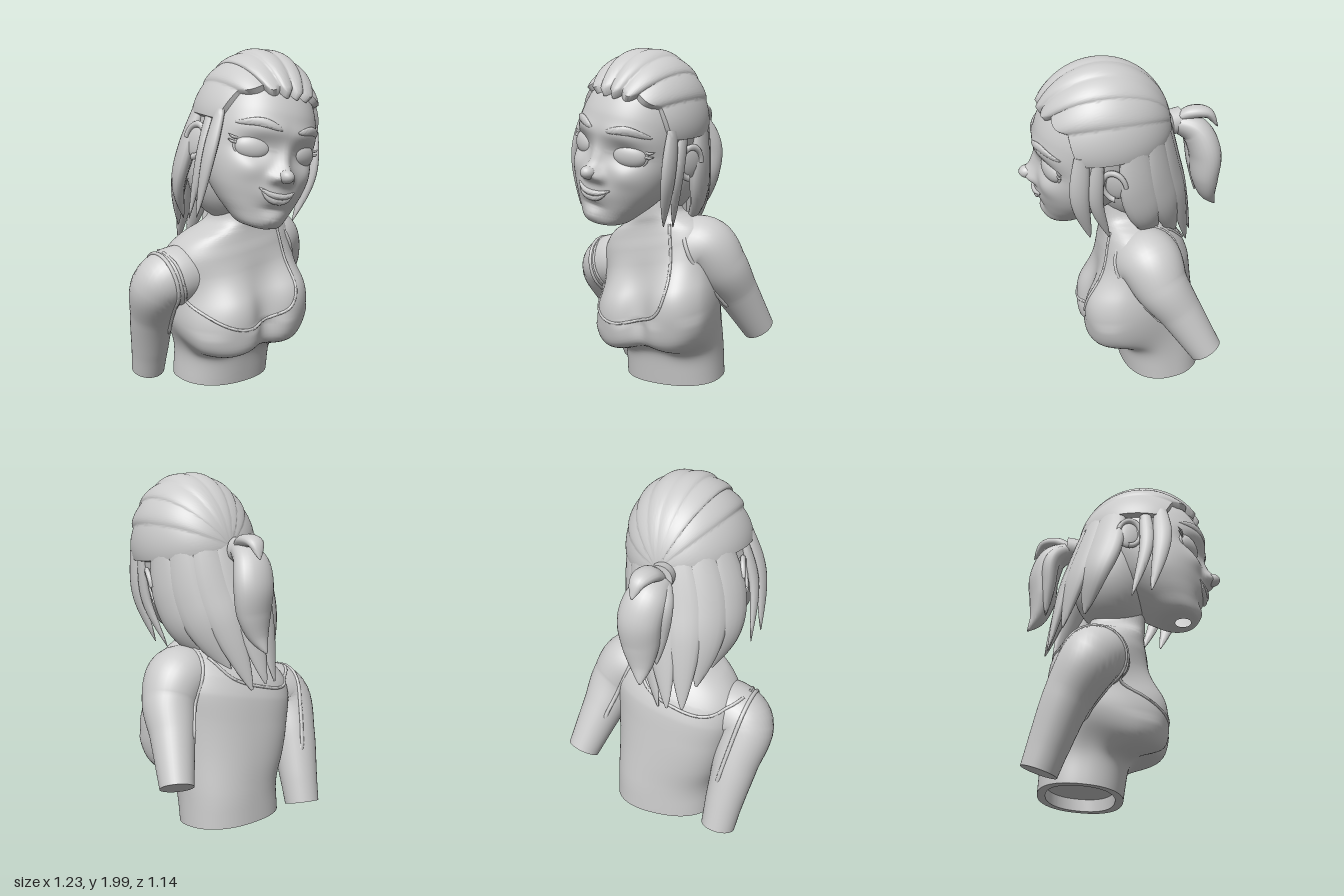
import * as THREE from 'three';
import { toCreasedNormals } from 'three/addons/utils/BufferGeometryUtils.js';

const V = (x, y, z) => new THREE.Vector3(x, y, z);
const mat = new THREE.MeshStandardMaterial({ color: 0xcccccc, side: THREE.DoubleSide });
const smooth = THREE.MathUtils.smoothstep;

function mesh(name, geo, parent) {
  const m = new THREE.Mesh(geo, mat);
  m.name = name;
  if (parent) parent.add(m);
  return m;
}

// Skin a list of point rings, closed round or open
function loft(rings, closed = true) {
  const n = rings[0].length, pos = [], idx = [];
  for (const r of rings) for (const p of r) pos.push(p.x, p.y, p.z);
  for (let i = 0; i < rings.length - 1; i++) {
    for (let j = 0; j < (closed ? n : n - 1); j++) {
      const k = (j + 1) % n, a = i * n + j, b = i * n + k, c = b + n, d = a + n;
      idx.push(a, b, d, b, c, d);
    }
  }
  const g = new THREE.BufferGeometry();
  g.setAttribute('position', new THREE.Float32BufferAttribute(pos, 3));
  g.setIndex(idx);
  return toCreasedNormals(g, 1.0);
}

// Sweep an ellipse along a path; size(u) gives [half width, half thickness], ref is the thin direction
function sweep(points, ref, size, n = 28, seg = 16) {
  const curve = new THREE.CatmullRomCurve3(points.map(p => V(...p))), rings = [];
  for (let i = 0; i <= n; i++) {
    const u = i / n, c = curve.getPoint(u), T = curve.getTangent(u);
    const N = V(...ref).addScaledVector(T, -T.dot(V(...ref))).normalize();
    const B = T.clone().cross(N), [w, t] = size(u);
    const ring = k => Array.from({ length: seg }, (_, j) => {
      const a = j / seg * Math.PI * 2;
      return c.clone().addScaledVector(N, Math.cos(a) * t * k).addScaledVector(B, Math.sin(a) * w * k);
    });
    if (i === 0) rings.push(ring(0));
    rings.push(ring(1));
    if (i === n) rings.push(ring(0));
  }
  return loft(rings);
}
const lock = (w, t) => u => { const k = Math.sin(Math.PI * (0.22 + 0.77 * u)) ** 0.8; return [w * k, t * k]; };
const spindle = (w, t) => u => { const k = Math.sin(Math.PI * (0.02 + 0.96 * u)) ** 0.6; return [w * k, t * k]; };

// Body from rows of [y, centre x, half width, front z, back z], then a rule moves each point
function body(rows, n, seg, power, rule, head = []) {
  const c1 = new THREE.CatmullRomCurve3(rows.map(r => V(r[0], r[1], r[2])));
  const c2 = new THREE.CatmullRomCurve3(rows.map(r => V(r[3], r[4], 0)));
  const all = head.slice();
  for (let i = 0; i <= n; i++) {
    const a = c1.getPoint(i / n), b = c2.getPoint(i / n);
    all.push([a.x, a.y, a.z, b.x, b.y]);
  }
  const last = all[all.length - 1], mid = (last[3] + last[4]) / 2;
  all.push([last[0], last[1], 0, mid, mid]);
  const e = v => Math.sign(v) * Math.abs(v) ** (2 / power);
  return loft(all.map(([y, cx, w, zf, zb]) => Array.from({ length: seg }, (_, j) => {
    const a = j / seg * Math.PI * 2, c = Math.cos(a);
    const p = V(cx + w * e(Math.sin(a)), y, (zf + zb) / 2 + (zf - zb) / 2 * e(c));
    rule(p, c);
    return p;
  })));
}

// Lay flat [x, y] points on the surface of some meshes, from the front (1) or the back (-1)
function project(points, targets, dir, n = 40) {
  const curve = new THREE.CatmullRomCurve3(points.map(p => V(p[0], p[1], 0))), out = [];
  for (let i = 0; i <= n; i++) {
    const p = curve.getPoint(i / n);
    const hit = new THREE.Raycaster(V(p.x, p.y, 3 * dir), V(0, 0, -dir)).intersectObjects(targets)[0];
    if (hit) out.push([p.x, p.y, hit.point.z]);
  }
  return out;
}

function makeTorso(root) {
  const rows = [[0, 0.02, 0.305, 0, -0.47], [0.2, 0.02, 0.305, 0.03, -0.46], [0.4, 0, 0.33, 0.08, -0.45],
    [0.6, -0.01, 0.36, 0.12, -0.43], [0.75, -0.02, 0.385, 0.14, -0.41], [0.85, -0.03, 0.375, 0.14, -0.37],
    [0.92, -0.03, 0.34, 0.13, -0.32], [0.97, -0.03, 0.28, 0.125, -0.27], [1.0, -0.02, 0.22, 0.125, -0.23], [1.04, -0.01, 0.16, 0.13, -0.2],
    [1.15, -0.01, 0.135, 0.13, -0.18], [1.3, -0.01, 0.13, 0.12, -0.17]];
  // hollow waist opening below
  const rim = [[0.07, 0.02, 0, -0.23, -0.23], [0.07, 0.02, 0.26, -0.045, -0.425], [0, 0.02, 0.26, -0.045, -0.425]];
  const torso = mesh('torso', body(rows, 130, 120, 2.3, (p, c) => {
    // bust: round below with an overhanging shelf, soft above
    const y = p.y, dy = y - 0.46;
    let d = 0.07 * Math.exp(-((p.x / 0.1) ** 2) - ((y - 0.35) / 0.09) ** 2);
    for (const s of [-1, 1]) {
      const r2 = ((p.x - s * 0.2) / 0.18) ** 2 + (dy / (dy < 0 ? 0.2 : 0.22)) ** 2;
      d += 0.185 * Math.exp(-(r2 ** (dy < 0 ? 1.7 : 1.2)));
    }
    d *= smooth(c, 0, 0.45);
    p.x += Math.sign(p.x) * 0.06 * Math.exp(-((dy / 0.17) ** 2)) * smooth(Math.abs(p.x), 0.1, 0.32) * smooth(c, -0.35, 0.4);
    p.z += d;
    p.y -= 0.5 * d * (1 - smooth(y, 0.35, 0.6));
    // raised left shoulder, turned chest, tilted waist cut
    p.y += 0.19 * p.x * smooth(y, 0.05, 0.65) - 0.08 * p.z * (1 - smooth(y, 0, 0.4));
    p.z += 0.16 * p.x * smooth(y, 0.1, 0.6);
  }, rim), root);

  // upper arms, cut flat, with the centre and facing of each armhole
  const arms = [
    ['leftArm', [0.28, 0.82, -0.07], [0.92, 0.38, 0], [[0.17, 0.81, -0.06], [0.28, 0.84, -0.08], [0.37, 0.73, -0.12], [0.43, 0.58, -0.21], [0.52, 0.33, -0.35]],
      [0.205, 0.19, 0.16, 0.128, 0.095]],
    ['rightArm', [-0.44, 0.64, -0.2], [-0.95, -0.2, -0.1], [[-0.24, 0.69, -0.15], [-0.36, 0.69, -0.17], [-0.45, 0.64, -0.21], [-0.43, 0.44, -0.32], [-0.39, 0.2, -0.41], [-0.37, 0.05, -0.46]],
      [0.165, 0.175, 0.168, 0.135, 0.112, 0.1]]];
  const targets = [torso];
  for (const [name, centre, facing, path, radii] of arms) {
    const rc = new THREE.CatmullRomCurve3(radii.map((r, i) => V(r, i * 0.15, 0)));
    const arm = mesh(name, sweep(path, [0, 0, 1], u => { const r = rc.getPoint(u).x; return [r, r]; }, 40, 36), root);
    targets.push(arm);
    // armhole hem hugging the shoulder
    const c = V(...centre), f = V(...facing).normalize(), e1 = V(0, 0, 1).cross(f).normalize(), e2 = f.clone().cross(e1), hem = [];
    for (let i = 0; i <= 48; i++) {
      const a = i / 48 * Math.PI * 2, d = e1.clone().multiplyScalar(Math.cos(a)).addScaledVector(e2, Math.sin(a));
      const hit = new THREE.Raycaster(c.clone().addScaledVector(d, 0.4), d.clone().negate()).intersectObject(arm)[0];
      if (hit) hem.push(hit.point.toArray());
    }
    mesh(name + 'Hem', sweep(hem, facing, () => [0.01, 0.012], 96, 8), root);
  }

  // neckline trim of the top
  const trims = [
    ['frontNeckline', 1, [[-0.46, 0.84], [-0.42, 0.64], [-0.32, 0.47], [-0.18, 0.41], [0, 0.44], [0.14, 0.5], [0.19, 0.62], [0.18, 0.8], [0.15, 1]]],
    ['backNeckline', -1, [[0.18, 0.98], [0.1, 0.87], [-0.08, 0.8], [-0.28, 0.77], [-0.44, 0.84]]]];
  for (const [name, dir, pts] of trims) {
    mesh(name, sweep(project(pts, targets, dir), [0, 0, 1], () => [0.009, 0.009], 80, 8), root);
  }
}

function makeFace(head) {
  const rows = [[-0.43, 0, 0.04, 0.35, 0.26], [-0.41, 0, 0.12, 0.39, 0.17], [-0.34, 0, 0.185, 0.405, 0.07],
    [-0.28, 0, 0.23, 0.415, 0], [-0.2, 0, 0.275, 0.43, -0.08], [-0.1, 0, 0.307, 0.435, -0.15], [0, 0, 0.322, 0.43, -0.2],
    [0.1, 0, 0.32, 0.445, -0.25], [0.2, 0, 0.31, 0.43, -0.28], [0.3, 0, 0.28, 0.385, -0.28],
    [0.4, 0, 0.22, 0.28, -0.24], [0.48, 0, 0.1, 0.15, -0.12]];
  // bumps: |x|, y, amount, spread x, spread y (nose, bridge, nostrils, sockets, cheeks, brow, mouth, chin)
  const bumps = [[0, -0.125, 0.075, 0.05, 0.045], [0, -0.05, 0.03, 0.036, 0.07], [0.056, -0.145, 0.03, 0.028, 0.028],
    [0.165, 0, -0.035, 0.09, 0.06], [0.19, -0.12, 0.015, 0.07, 0.06], [0.13, 0.11, 0.012, 0.12, 0.04],
    [0, -0.24, 0.02, 0.1, 0.05], [0, -0.315, -0.012, 0.07, 0.022], [0, -0.375, 0.016, 0.06, 0.035]];
  const face = mesh('headSkin', body(rows, 96, 128, 2.15, (p, c) => {
    let d = 0;
    for (const [x, y, a, sx, sy] of bumps) d += a * Math.exp(-(((Math.abs(p.x) - x) / sx) ** 2) - ((p.y - y) / sy) ** 2);
    p.z += d * smooth(c, 0, 0.45);
  }), null);
  const noseTip = mesh('noseTip', new THREE.SphereGeometry(1, 24, 16), head);
  noseTip.scale.set(0.042, 0.038, 0.05);
  noseTip.position.set(0, -0.124, 0.48);

  // closed smiling lips
  mesh('upperLip', sweep(project([[-0.115, -0.205], [-0.06, -0.23], [0, -0.238], [0.06, -0.23], [0.115, -0.205]], [face], 1, 24),
    [0, 0, 1], spindle(0.017, 0.018)), head);
  mesh('lowerLip', sweep(project([[-0.1, -0.216], [-0.055, -0.252], [0, -0.262], [0.055, -0.252], [0.1, -0.216]], [face], 1, 24),
    [0, 0, 1], spindle(0.022, 0.016)), head);

  for (const s of [-1, 1]) {
    const side = s > 0 ? 'left' : 'right';
    // eyebrow
    mesh(side + 'Eyebrow', sweep(project([[0.05 * s, 0.115], [0.16 * s, 0.138], [0.265 * s, 0.118]], [face], 1, 16),
      [0, 0, 1], spindle(0.025, 0.012)), head);
    // eyeball, lids and lashes
    const eye = new THREE.Group();
    eye.name = side + 'Eye';
    eye.position.set(0.163 * s, 0, 0.35);
    eye.rotation.y = 0.42 * s;
    head.add(eye);
    mesh(side + 'Eyeball', new THREE.SphereGeometry(1, 32, 20), eye).scale.set(0.097, 0.067, 0.044);
    const lid = mesh(side + 'Eyelids', new THREE.TorusGeometry(0.097, 0.009, 8, 40), eye);
    lid.scale.set(1, 0.69, 1.2);
    for (const y of [0.01, 0.035]) {
      mesh(side + 'Lash', sweep([[0.085 * s, y, 0.01], [0.115 * s, y + 0.004, 0.015], [0.14 * s, y + 0.016, 0.01]],
        [0, 0, 1], lock(0.008, 0.006), 8, 8), eye);
    }
    // ear
    const ear = new THREE.Group();
    ear.name = side + 'Ear';
    ear.position.set(0.32 * s, -0.015, 0.015);
    ear.rotation.set(0.15, -0.4 * s, 0);
    head.add(ear);
    mesh(side + 'EarBowl', new THREE.SphereGeometry(1, 20, 16), ear).scale.set(0.025, 0.095, 0.068);
    const rim = mesh(side + 'EarRim', new THREE.TorusGeometry(0.073, 0.015, 8, 32, 4.6), ear);
    rim.position.x = 0.018 * s;
    rim.rotation.y = Math.PI / 2;
    rim.scale.set(0.9, 1.25, 1);
  }
  head.add(face);
}

function makeHair(head, root) {
  // combed cap: ridged locks run from the hairline back to the tie
  const tie = V(-0.05, 0.07, -0.985).normalize(), rings = [], nt = 44, ns = 160;
  for (let i = 0; i <= nt; i++) {
    const t = i / nt, ring = [];
    for (let j = 0; j <= ns; j++) {
      const s = -1 + 2 * j / ns, ridge = Math.abs(Math.sin(Math.PI * (4 * s + 0.25 * Math.sin(5 * s))));
      const a = s * 1.15, e = 0.48 * (1 - s ** 6) - 0.08 * ridge;
      const h = V(Math.sin(a) * Math.cos(e), Math.sin(e), Math.cos(a) * Math.cos(e));
      const w = h.angleTo(tie), d = h.multiplyScalar(Math.sin((1 - t) * w)).addScaledVector(tie, Math.sin(t * w)).divideScalar(Math.sin(w));
      let k = 0.985 + 0.042 * ridge * (1 - t);
      if (i === 0 || j === 0 || j === ns) k *= 0.92;
      ring.push(V(d.x * 0.346 * k, 0.13 + d.y * 0.426 * k, 0.058 + d.z * 0.397 * k));
    }
    rings.push(ring);
  }
  mesh('hairCap', loft(rings, false), head);

  // loose hair behind the ears
  const under = mesh('backHairMass', new THREE.SphereGeometry(1, 32, 24), head);
  under.scale.set(0.28, 0.36, 0.25);
  under.position.set(0, -0.08, -0.11);
  for (let i = 0; i < 7; i++) {
    const a = (i - 3) / 3 * 1.2, x = Math.sin(a), z = Math.cos(a), drop = i % 2 ? 0.04 : 0;
    mesh('backLock', sweep([[0.3 * x, 0.19, 0.03 - 0.32 * z], [0.33 * x, -0.08, 0.01 - 0.36 * z],
      [0.31 * x, -0.28, -0.05 - 0.36 * z], [0.2 * x, -0.37 - 0.29 * z + drop, -0.1 - 0.39 * z]],
    [x, 0, -z], lock(0.115, 0.05)), head);
  }

  // strands in front of the ears
  for (const s of [-1, 1]) {
    const low = s < 0 ? -0.05 : 0;
    mesh('sideStrand', sweep([[0.31 * s, 0.17, 0.2], [0.338 * s, -0.1, 0.21], [0.315 * s, -0.38 + low, 0.15]],
      [s, 0, 0], lock(0.055, 0.03)), head);
    mesh('sideStrand', sweep([[0.32 * s, 0.15, 0.11], [0.335 * s, -0.12, 0.12], [0.3 * s, -0.4 + low, 0.04]],
      [s, 0, 0], lock(0.042, 0.026)), head);
  }

  // ponytail with its band and a small top loop
  const band = mesh('hairBand', new THREE.CylinderGeometry(0.072, 0.075, 0.065, 28), root);
  band.position.set(0.018, 1.58, -0.315);
  band.rotation.x = Math.PI / 2 + 0.1;
  mesh('ponytail', sweep([[0.02, 1.57, -0.33], [0.05, 1.52, -0.43], [0.08, 1.4, -0.48], [0.08, 1.25, -0.485], [0.07, 1.13, -0.51], [0.06, 1.04, -0.565]],
    [0, 0.3, -1], u => { const k = Math.sin(Math.PI * (0.2 + 0.79 * u)) ** 0.9; return [0.125 * k, 0.09 * k]; }, 40, 24), root);
  mesh('ponytailLock', sweep([[0.0, 1.56, -0.34], [-0.02, 1.48, -0.43], [-0.01, 1.3, -0.45], [0.0, 1.12, -0.46]],
    [0, 0.3, -1], lock(0.07, 0.05)), root);
  mesh('ponytailLoop', sweep([[0.02, 1.59, -0.32], [0.05, 1.635, -0.4], [0.08, 1.63, -0.49], [0.1, 1.55, -0.545]],
    [0, 1, -0.4], lock(0.065, 0.038)), root);
}

export function createModel() {
  const root = new THREE.Group();
  root.name = 'bust';
  makeTorso(root);
  const head = new THREE.Group();
  head.name = 'head';
  head.position.set(-0.025, 1.44, 0.05);
  head.rotation.set(0, -0.19, -0.2, 'YXZ');
  root.add(head);
  makeFace(head);
  makeHair(head, root);
  return root;
}
